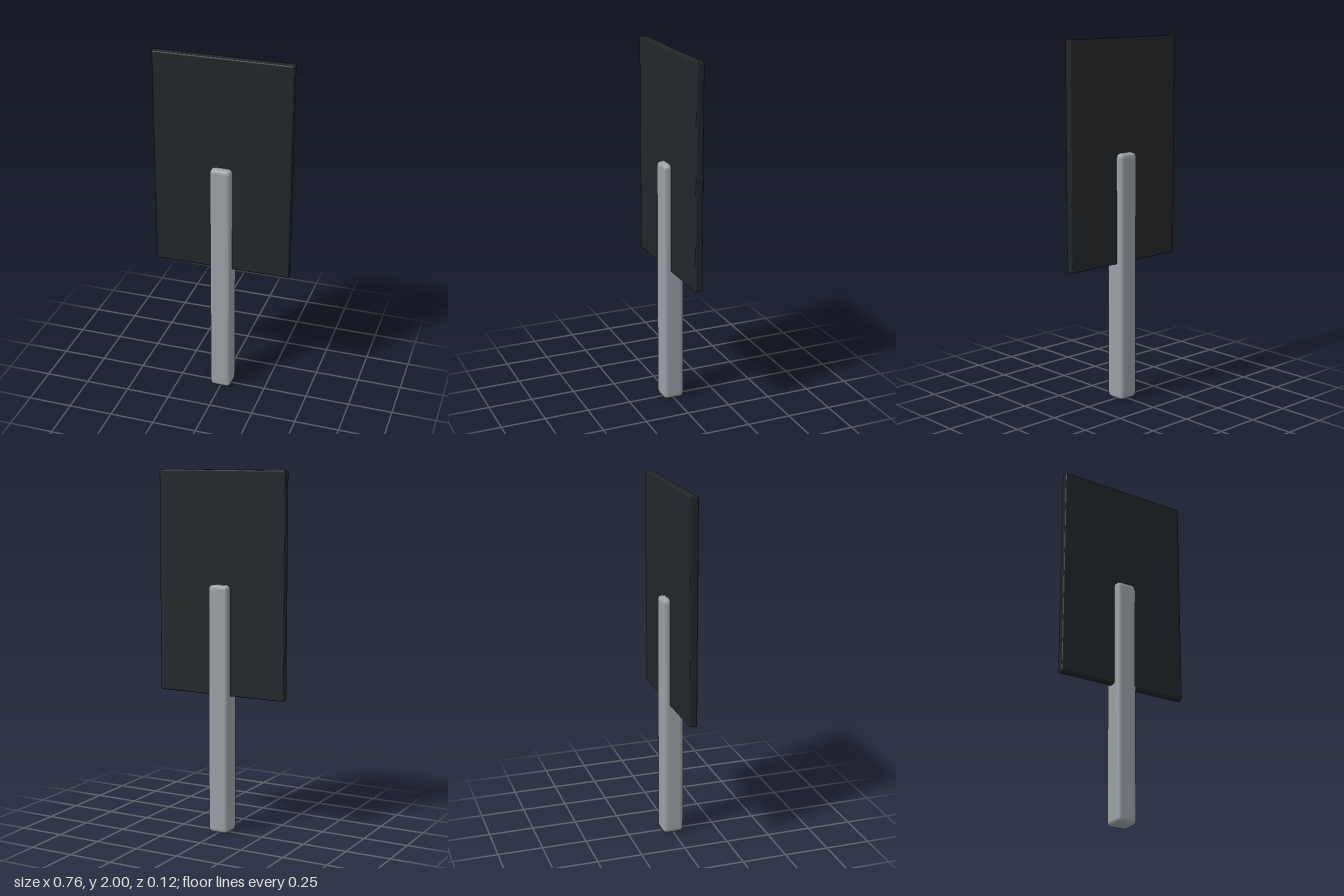
import * as THREE from 'three';
import { RoundedBoxGeometry } from 'three/addons/geometries/RoundedBoxGeometry.js';

// Upright box with faceted rounded edges, spanning bottom..top in y
function bevelledBox(name, width, depth, bottom, top, radius, color) {
  const geometry = new RoundedBoxGeometry(width, top - bottom, depth, 2, radius);
  const material = new THREE.MeshStandardMaterial({ color, flatShading: true });
  const mesh = new THREE.Mesh(geometry, material);
  mesh.name = name;
  mesh.position.y = (bottom + top) / 2;
  return mesh;
}

export function createModel() {
  const model = new THREE.Group();
  model.name = 'signPaddle';

  // Square handle, reaching up through the middle of the panel
  model.add(bevelledBox('handle', 0.12, 0.12, 0, 1.385, 0.024, 0x9aa0a6));

  // Thin dark panel
  model.add(bevelledBox('panel', 0.765, 0.044, 0.775, 2, 0.008, 0x222629));

  return model;
}
